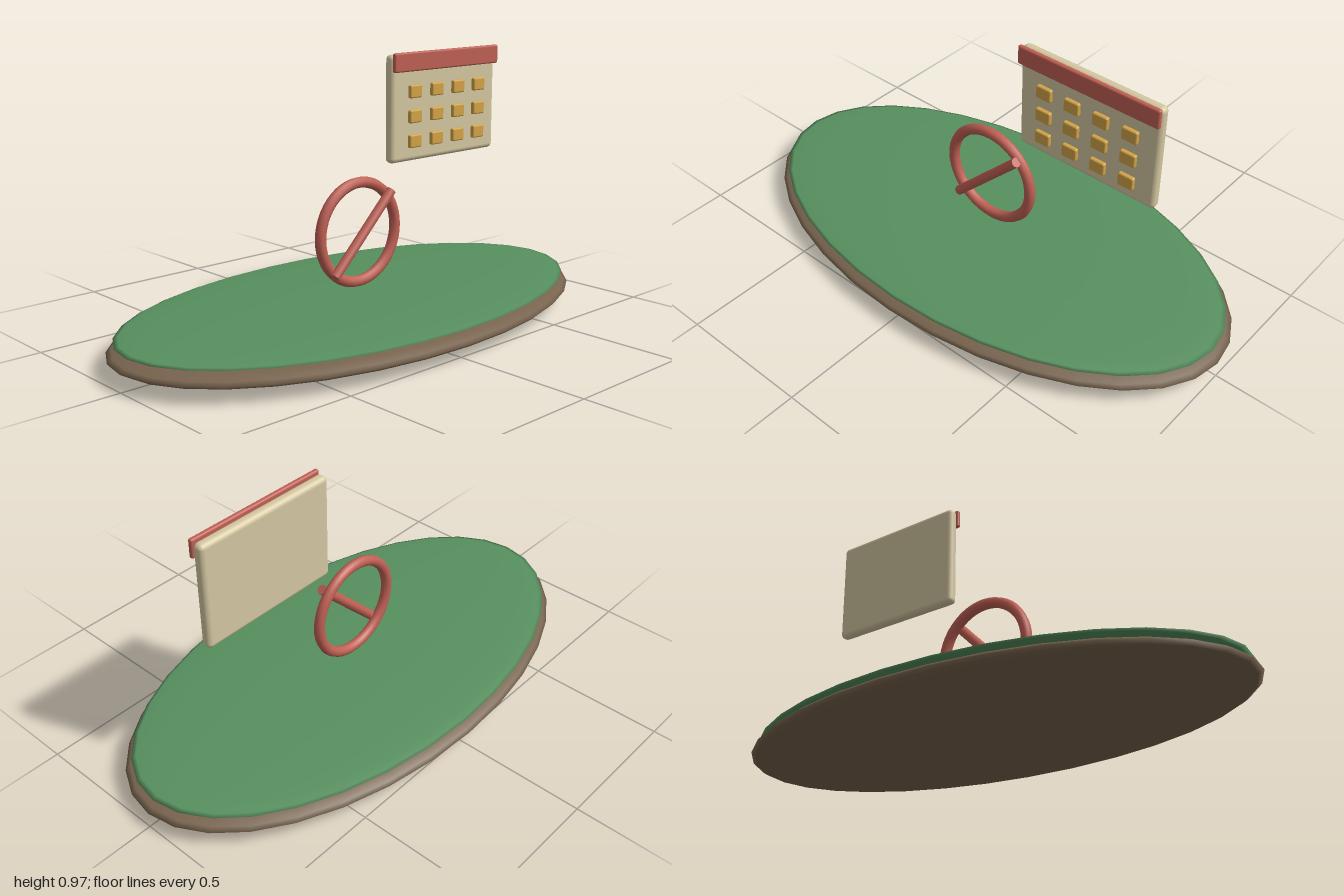
import * as THREE from 'three';
import { RoundedBoxGeometry } from 'three/addons/geometries/RoundedBoxGeometry.js';

function material(name, color) {
  const m = new THREE.MeshStandardMaterial({ color });
  m.name = name;
  return m;
}

export function createModel() {
  const group = new THREE.Group();
  const brown = material('earth brown', 0x78644e);
  const green = material('grass green', 0x57905f);
  const red = material('muted red', 0xc06054);
  const cream = material('cream', 0xd4c7a1);
  const gold = material('gold', 0xd3a448);

  const add = (name, geometry, mat, x, y, z) => {
    const mesh = new THREE.Mesh(geometry, mat);
    mesh.name = name;
    mesh.position.set(x, y, z);
    group.add(mesh);
    return mesh;
  };
  const box = (w, h, d, r) => new RoundedBoxGeometry(w, h, d, 3, r);

  // Flattened oval ground with a grass layer on top
  const disc = (name, mat, y, rx, ry, rz) =>
    add(name, new THREE.SphereGeometry(1, 32, 16), mat, 0, y, 0).scale.set(rx, ry, rz);
  disc('groundBase', brown, 0.059, 1, 0.059, 0.545);
  disc('grassTop', green, 0.103, 0.975, 0.02, 0.523);

  // Prohibition sign: ring with a diagonal bar in front
  add('signRing', new THREE.TorusGeometry(0.181, 0.02, 10, 48), red, 0, 0.34, 0);
  const slash = add('signSlash', new THREE.CylinderGeometry(0.018, 0.018, 0.388, 12), red, 0, 0.34, 0.026);
  slash.rotation.z = -Math.PI / 4;

  // Calendar board, header strip and day squares
  add('calendarBoard', box(0.555, 0.393, 0.042, 0.018), cream, 0.422, 0.766, 0);
  add('calendarHeader', box(0.555, 0.07, 0.018, 0.007), red, 0.422, 0.935, 0.029);
  for (let row = 0; row < 3; row++) {
    for (let col = 0; col < 4; col++) {
      add(`daySquare${row * 4 + col + 1}`, box(0.06, 0.048, 0.018, 0.006), gold,
        0.254 + col * 0.114, 0.827 - row * 0.091, 0.029);
    }
  }
  return group;
}
